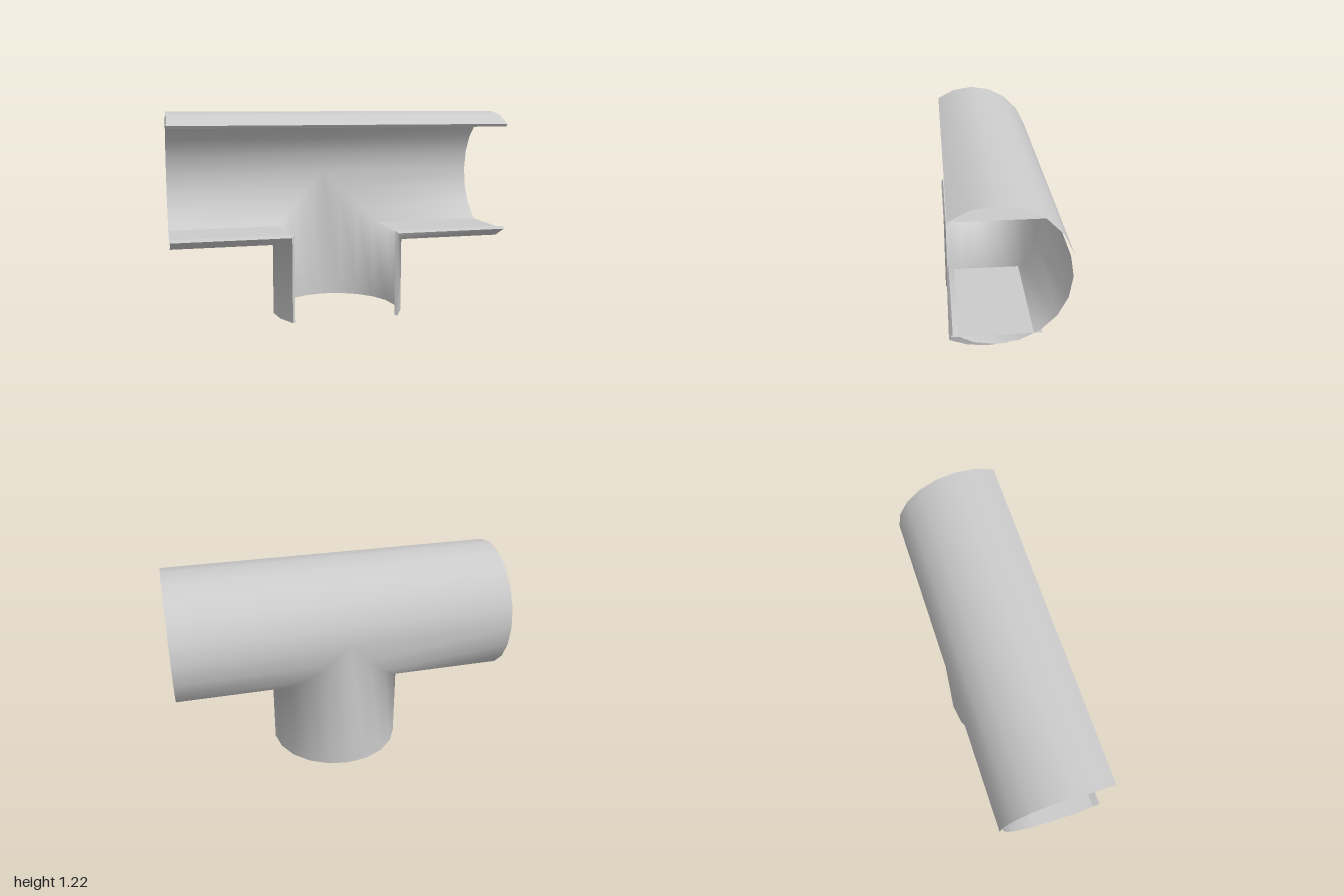
import * as THREE from 'three';
import { mergeVertices } from 'three/addons/utils/BufferGeometryUtils.js';

const AXIS_Y = 0.82, AXIS_Z = 0.08, OUTER = 0.395, INNER = 0.375, HALF = 1;
const STEP = Math.PI / 10;      // 20-sided pipe
const FIRST = -2, LAST = 12;    // facets kept, counted from the bottom towards the back

// Cross-section point k of the pipe; c is the mitre distance shared by run and branch
function section(r, k) {
  const c = r * Math.cos(k * STEP);
  return { y: AXIS_Y - c, z: AXIS_Z - r * Math.sin(k * STEP), c: Math.max(0, c) };
}
const runPoint = (r, k, end) => {
  const s = section(r, k);
  return [end ? HALF : s.c, s.y, s.z];
};
const branchPoint = (r, k, top) => {
  const s = section(r, k);
  return [s.c, top ? AXIS_Y - s.c : 0, s.z];
};

// Adds a quad and its mirror image across x = 0
function addPair(out, quad, flip) {
  for (const side of [1, -1]) {
    const p = quad.map(([x, y, z]) => [x * side, y, z]);
    const [a, b, c, d] = flip === (side === 1) ? [p[3], p[2], p[1], p[0]] : p;
    out.push(...a, ...b, ...c, ...a, ...c, ...d);
  }
}

function toGeometry(positions, smooth) {
  let g = new THREE.BufferGeometry();
  g.setAttribute('position', new THREE.Float32BufferAttribute(positions, 3));
  if (smooth) g = mergeVertices(g, 1e-4);
  g.computeVertexNormals();
  return g;
}

// One skin of the tee: horizontal run mitred into the vertical branch
function teeSkin(r, outward) {
  const out = [];
  for (let k = FIRST; k < LAST; k++) {
    addPair(out, [runPoint(r, k, false), runPoint(r, k, true),
      runPoint(r, k + 1, true), runPoint(r, k + 1, false)], outward);
    if (k < 5) {
      addPair(out, [branchPoint(r, k, false), branchPoint(r, k, true),
        branchPoint(r, k + 1, true), branchPoint(r, k + 1, false)], outward);
    }
  }
  return toGeometry(out, true);
}

// Narrow faces along the front opening, joining outer and inner skins
function openingEdges() {
  const out = [];
  const lip = (point, k) => addPair(out, [point(OUTER, k, false), point(OUTER, k, true),
    point(INNER, k, true), point(INNER, k, false)], false);
  lip(runPoint, FIRST);
  lip(runPoint, LAST);
  lip(branchPoint, FIRST);
  return toGeometry(out, false);
}

// Flat panel running back from a lip of the run to the wall behind
function flatPanel(k, kBack) {
  const out = [];
  addPair(out, [runPoint(OUTER, k, false), runPoint(OUTER, k, true),
    runPoint(OUTER, kBack, true), runPoint(OUTER, kBack, false)], false);
  return toGeometry(out, false);
}

export function createModel() {
  const group = new THREE.Group();
  group.name = 'cutawayPipeTee';
  const solid = new THREE.MeshStandardMaterial({ color: 0xcccccc });
  const thin = new THREE.MeshStandardMaterial({ color: 0xcccccc, side: THREE.DoubleSide });
  const add = (name, geometry, material) => {
    const mesh = new THREE.Mesh(geometry, material);
    mesh.name = name;
    group.add(mesh);
  };
  add('outerWall', teeSkin(OUTER, true), solid);
  add('innerWall', teeSkin(INNER, false), solid);
  add('openingEdges', openingEdges(), thin);
  add('lowerPanel', flatPanel(FIRST, 2), thin);
  add('upperPanel', flatPanel(LAST, 8), thin);
  return group;
}
